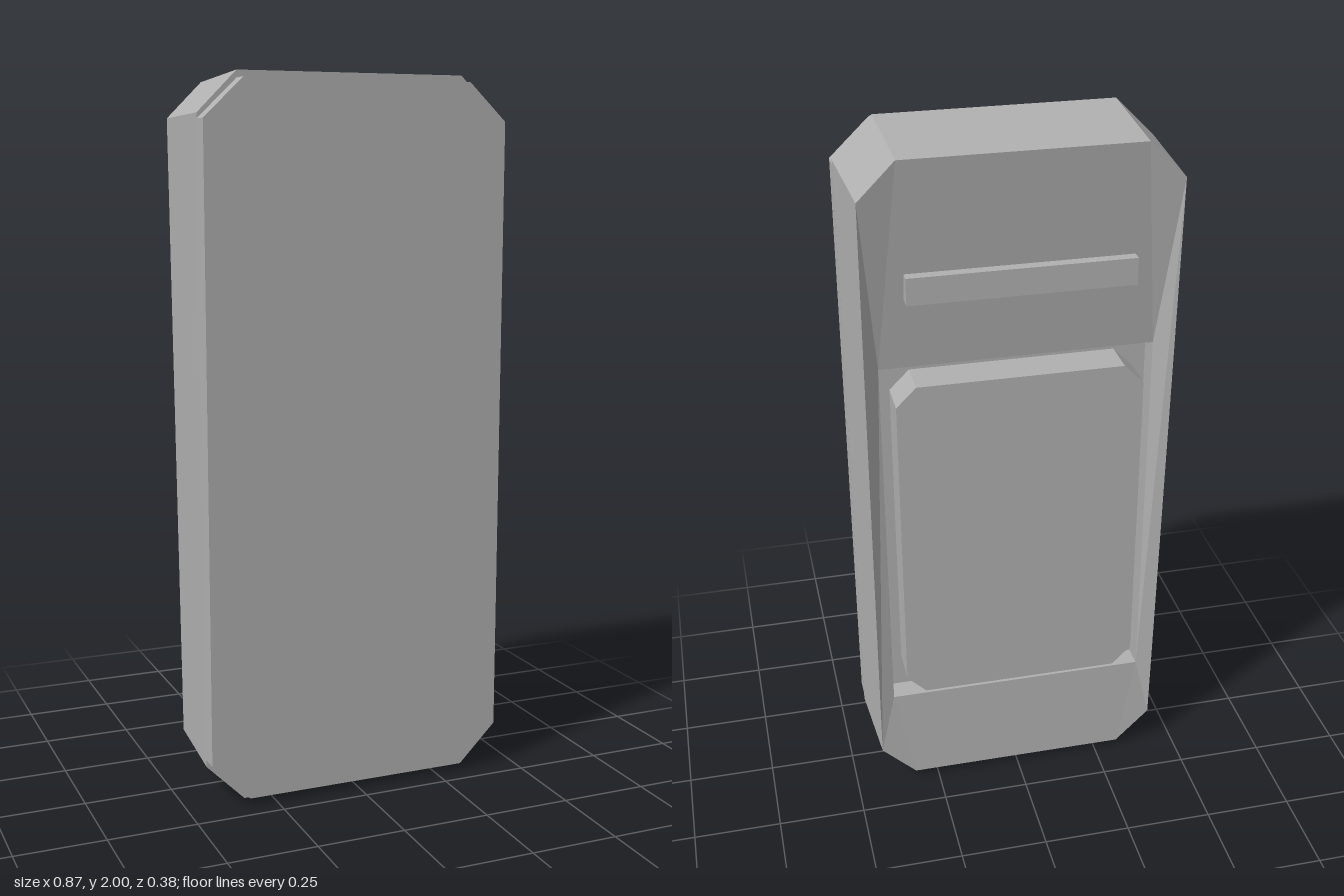
import * as THREE from 'three';

// Eight corners of a chamfered rectangle, counter-clockwise seen from the front
function octagon(w, cx, y0, y1, sy0, sy1, zBottom, zTop = zBottom) {
  return [
    [-cx, y0, zBottom], [cx, y0, zBottom], [w, sy0, zBottom], [w, sy1, zTop],
    [cx, y1, zTop], [-cx, y1, zTop], [-w, sy1, zTop], [-w, sy0, zBottom],
  ];
}

// Skin through rings ordered from front to back, closed at both ends
function loft(rings) {
  const pos = [];
  const tri = (a, b, c) => {
    const [A, B, C] = [a, b, c].map((p) => new THREE.Vector3(...p));
    if (B.sub(A).cross(C.sub(A)).length() > 1e-8) pos.push(...a, ...b, ...c);
  };
  for (let r = 0; r < rings.length - 1; r++) {
    const a = rings[r], b = rings[r + 1];
    for (let i = 0; i < a.length; i++) {
      const n = (i + 1) % a.length;
      tri(a[i], b[i], b[n]);
      tri(a[i], b[n], a[n]);
    }
  }
  const first = rings[0], last = rings[rings.length - 1];
  for (let i = 1; i < first.length - 1; i++) {
    tri(first[0], first[i], first[i + 1]);
    tri(last[0], last[i + 1], last[i]);
  }
  const geo = new THREE.BufferGeometry();
  geo.setAttribute('position', new THREE.Float32BufferAttribute(pos, 3));
  geo.computeVertexNormals();
  return geo;
}

export function createModel() {
  const group = new THREE.Group();
  const grey = new THREE.MeshStandardMaterial({ color: 0xb0b0b0 });
  grey.name = 'plain grey';
  const add = (name, geo) => {
    const mesh = new THREE.Mesh(geo, grey);
    mesh.name = name;
    group.add(mesh);
    return mesh;
  };

  // Tapered body whose back slopes inwards to a rectangular pocket
  const px = 0.376, py0 = 0.31, py1 = 1.4;
  add('body', loft([
    octagon(0.437, 0.327, 0, 2, 0.11, 1.89, 0.137),
    octagon(0.42, 0.32, 0.02, 1.985, 0.12, 1.885, -0.135, -0.19),
    octagon(px, px, py0, py1, py0, py1, -0.124),
    octagon(px, px, py0, py1, py0, py1, -0.06),
  ]));

  // Flat front plate
  add('frontPlate', loft([
    octagon(0.437, 0.327, 0.02, 1.98, 0.13, 1.875, 0.19),
    octagon(0.437, 0.327, 0.02, 1.98, 0.13, 1.875, 0.13),
  ]));

  // Raised panel standing in the pocket
  add('backPanel', loft([
    octagon(0.34, 0.285, 0.355, 1.36, 0.41, 1.305, -0.055),
    octagon(0.34, 0.285, 0.355, 1.36, 0.41, 1.305, -0.17),
  ]));

  // Horizontal bar above the pocket
  add('backBar', new THREE.BoxGeometry(0.61, 0.075, 0.06)).position.set(0, 1.638, -0.155);

  return group;
}
